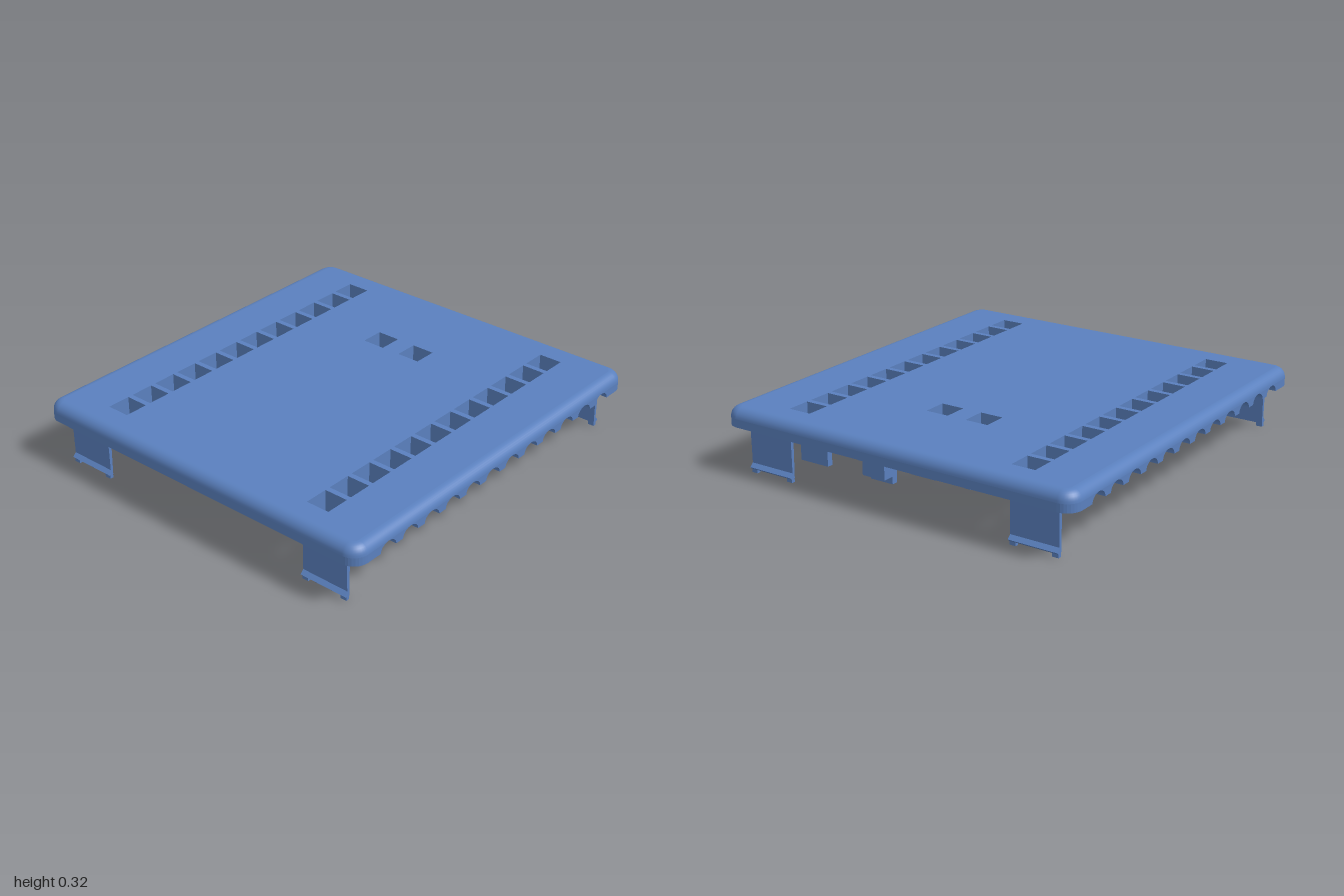
import * as THREE from 'three';

const blue = new THREE.MeshStandardMaterial({ color: 0x5a80be });
blue.name = 'blue plastic';

const HX = 0.94, HZ = 1, CORNER = 0.075, ROUND = 0.05;
const BOTTOM = 0.23, CEILING = 0.27, TOP = 0.32;
const PITCH = 0.1448, CELL = 0.118, COUNT = 12;
const slotZ = (i) => (i - (COUNT - 1) / 2) * PITCH - 0.003;

// Rounded rectangle outline in x/z, inset from the outer edge
function outline(inset) {
  const pts = [], r = CORNER - inset;
  [[1, 1], [-1, 1], [-1, -1], [1, -1]].forEach(([sx, sz], c) => {
    for (let i = 0; i <= 8; i++) {
      const a = (c + i / 8) * Math.PI / 2;
      pts.push(new THREE.Vector2(
        sx * (HX - CORNER) + r * Math.cos(a), sz * (HZ - CORNER) + r * Math.sin(a)));
    }
  });
  return pts;
}

function rect(Kind, cx, cz, w, d) {
  return new Kind([[-1, -1], [1, -1], [1, 1], [-1, 1]].map(
    ([a, b]) => new THREE.Vector2(cx + a * w / 2, cz + b * d / 2)));
}

// Extrude an x/z shape between two heights
function slab(shape, y0, y1) {
  const g = new THREE.ExtrudeGeometry(shape, { depth: y1 - y0, bevelEnabled: false });
  return g.rotateX(Math.PI / 2).translate(0, y1, 0);
}

// Extrude a z/y profile between two x positions
function alongX(shape, x0, x1) {
  const g = new THREE.ExtrudeGeometry(shape, { depth: x1 - x0, bevelEnabled: false, curveSegments: 12 });
  return g.rotateY(-Math.PI / 2).translate(x1, 0, 0);
}

function add(parent, name, geometry) {
  const mesh = new THREE.Mesh(geometry, blue);
  mesh.name = name;
  parent.add(mesh);
  return mesh;
}

function box(parent, name, x0, x1, y0, y1, z0, z1) {
  add(parent, name, new THREE.BoxGeometry(x1 - x0, y1 - y0, z1 - z0)
    .translate((x0 + x1) / 2, (y0 + y1) / 2, (z0 + z1) / 2));
}

// Quarter-round shoulder lofted from the rim to the flat top
function shoulderGeometry() {
  const pos = [], idx = [], steps = 8;
  let n = 0;
  for (let j = 0; j <= steps; j++) {
    const a = (j / steps) * Math.PI / 2;
    const ring = outline(ROUND * (1 - Math.cos(a)));
    n = ring.length;
    ring.forEach((p) => pos.push(p.x, CEILING + (TOP - CEILING) * Math.sin(a), p.y));
  }
  for (let j = 0; j < steps; j++) {
    for (let i = 0; i < n; i++) {
      const a = j * n + i, b = j * n + (i + 1) % n;
      idx.push(a, a + n, b, b, a + n, b + n);
    }
  }
  const g = new THREE.BufferGeometry();
  g.setAttribute('position', new THREE.Float32BufferAttribute(pos, 3));
  g.setIndex(idx);
  g.computeVertexNormals();
  return g;
}

// Snap leg with an outward hook and two small feet
function addLeg(parent, x0, x1) {
  const leg = new THREE.Group();
  leg.name = 'snapLeg';
  const profile = [[0.918, CEILING], [0.938, CEILING], [0.936, 0.045], [0.954, 0.027],
    [0.945, 0.018], [0.923, 0.018]];
  add(leg, 'legBlade', alongX(new THREE.Shape(profile.map((p) => new THREE.Vector2(...p))), x0, x1));
  box(leg, 'legFoot', x0, x0 + 0.032, 0, 0.02, 0.924, 0.942);
  box(leg, 'legFoot', x1 - 0.032, x1, 0, 0.02, 0.924, 0.942);
  parent.add(leg);
}

export function createModel() {
  const model = new THREE.Group();
  model.name = 'ventedCover';
  const channelX = [-0.61, 0.606], portX = [-0.14, 0.0765], portZ = -0.473;

  // Top plate pierced by the slots and the two ports
  const plate = new THREE.Shape(outline(ROUND));
  channelX.forEach((x) => {
    for (let i = 0; i < COUNT; i++) plate.holes.push(rect(THREE.Path, x, slotZ(i), CELL, CELL));
  });
  portX.forEach((x) => plate.holes.push(rect(THREE.Path, x, portZ, CELL, CELL)));
  add(model, 'topPlate', slab(plate, CEILING, TOP));
  add(model, 'roundedShoulder', shoulderGeometry());

  // Walled channels under the slots
  channelX.forEach((x) => {
    const channel = rect(THREE.Shape, x, -0.003, 0.146, 1.77);
    for (let i = 0; i < COUNT; i++) channel.holes.push(rect(THREE.Path, x, slotZ(i), CELL, CELL));
    add(model, 'slotChannel', slab(channel, 0.187, CEILING));
  });

  // Square sleeves under the ports
  portX.forEach((x) => {
    const sleeve = rect(THREE.Shape, x, portZ, 0.142, 0.142);
    sleeve.holes.push(rect(THREE.Path, x, portZ, CELL, CELL));
    add(model, 'portSleeve', slab(sleeve, 0.192, CEILING));
  });

  // Scalloped side rims
  const endZ = 0.88;
  const scallops = new THREE.Shape();
  scallops.moveTo(-endZ, CEILING);
  scallops.lineTo(-endZ, BOTTOM);
  for (let i = 0; i < COUNT; i++) {
    scallops.lineTo(slotZ(i) - 0.05, BOTTOM);
    scallops.absellipse(slotZ(i), BOTTOM, 0.05, CEILING - BOTTOM - 0.0005, Math.PI, 0, true);
  }
  scallops.lineTo(endZ, BOTTOM);
  scallops.lineTo(endZ, CEILING);
  add(model, 'leftRim', alongX(scallops, HX - ROUND, HX));
  add(model, 'rightRim', alongX(scallops, -HX, ROUND - HX));

  // Front and back ends: rim with rounded corners, plus a pair of snap legs
  for (const name of ['frontEnd', 'backEnd']) {
    const end = new THREE.Group();
    end.name = name;
    const v = (x, z) => new THREE.Vector2(x, z);
    const rim = new THREE.Shape([v(HX, endZ), ...outline(0).slice(0, 18), v(-HX, endZ),
      v(ROUND - HX, endZ), v(ROUND - HX, HZ - ROUND), v(HX - ROUND, HZ - ROUND), v(HX - ROUND, endZ)]);
    add(end, 'endRim', slab(rim, BOTTOM, CEILING));
    addLeg(end, 0.597, 0.84);
    addLeg(end, -0.84, -0.597);
    if (name === 'backEnd') end.rotation.y = Math.PI;
    model.add(end);
  }

  // Stiffening rails inside the two ends
  box(model, 'frontRail', -0.535, 0.535, 0.192, CEILING, 0.868, 0.882);
  box(model, 'backRail', -0.45, 0.45, 0.2, CEILING, -0.9, -0.885);
  for (const [x0, x1] of [[-0.38, -0.35], [-0.2, -0.07], [0.2, 0.23]]) {
    box(model, 'railTab', x0, x1, 0.185, CEILING, -0.915, -0.9);
  }

  // Locating blocks on the back edge
  box(model, 'backBlock', 0.01, 0.13, 0.13, CEILING, -0.945, -0.915);
  box(model, 'backBlockStep', 0.01, 0.13, 0.165, BOTTOM, -1, -0.945);
  box(model, 'backBlock', 0.375, 0.53, 0.13, CEILING, -0.945, -0.915);

  return model;
}
